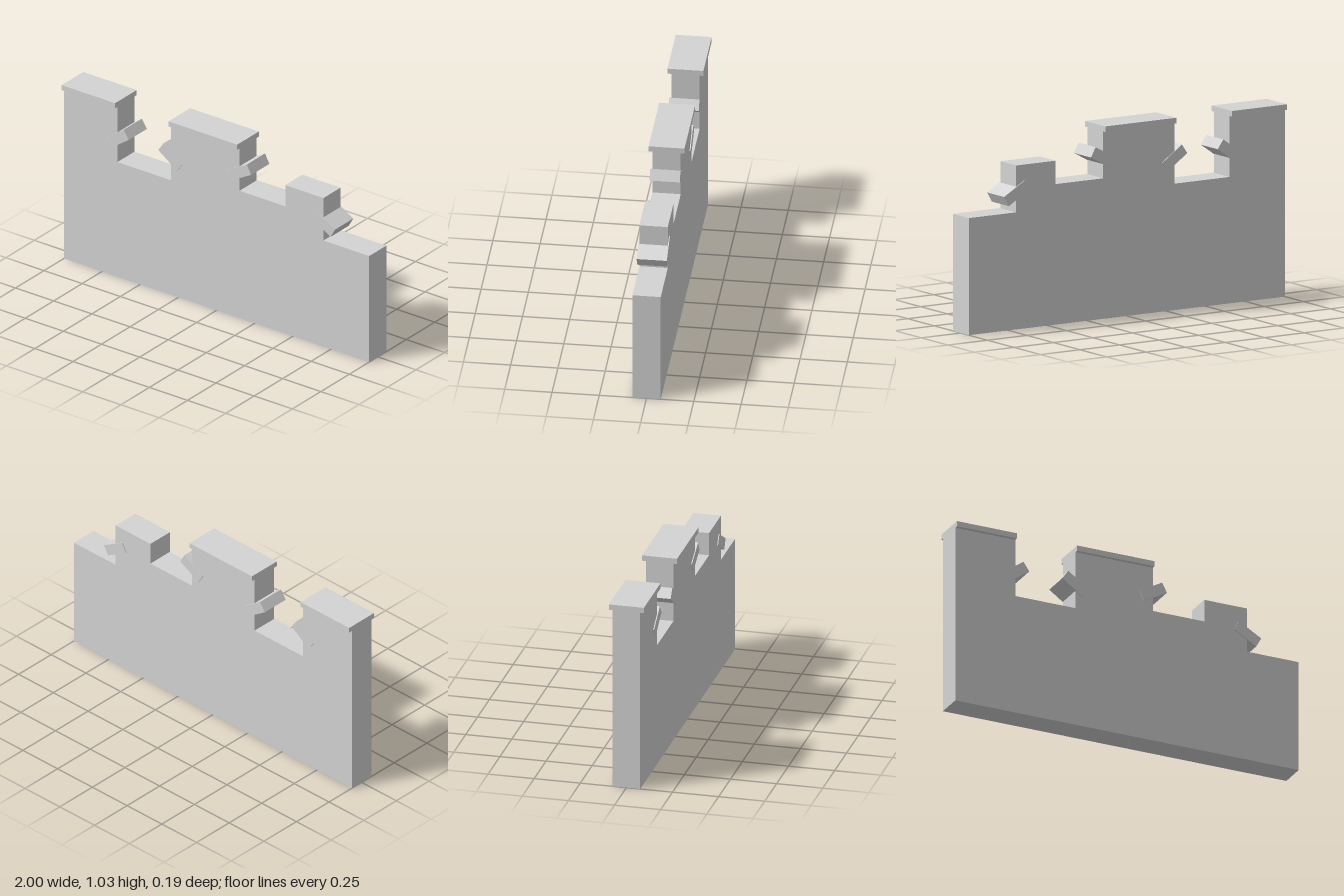
import * as THREE from 'three';

export function createModel() {
  const model = new THREE.Group();
  model.name = 'ruinedWall';
  const stone = new THREE.MeshStandardMaterial({ color: 0xd4d4d4 });
  stone.name = 'paleStone';

  const add = (name, geometry, x = 0, y = 0, z = 0, angle = 0) => {
    const mesh = new THREE.Mesh(geometry, stone);
    mesh.name = name;
    mesh.position.set(x, y, z);
    mesh.rotation.z = angle;
    model.add(mesh);
  };

  // Wall slab with a broken, stepped top edge
  const outline = [
    [-1, 0], [1, 0], [1, 0.625], [0.7, 0.625], [0.7, 0.875], [0.45, 0.875],
    [0.45, 0.75], [0.15, 0.75], [0.15, 1], [-0.3, 1], [-0.3, 0.675],
    [-0.65, 0.675], [-0.65, 1], [-1, 1],
  ].map(([x, y]) => new THREE.Vector2(x, y));
  const depth = 0.15;
  const slab = new THREE.ExtrudeGeometry(new THREE.Shape(outline), { depth, bevelEnabled: false });
  add('wall', slab, 0, 0, -depth / 2);

  // Coping stones on the two intact merlons
  for (const [name, x0, x1] of [['leftCap', -0.3, 0.15], ['rightCap', -1, -0.65]]) {
    add(name, new THREE.BoxGeometry(x1 - x0, 0.03, 0.19), (x0 + x1) / 2, 1.015);
  }

  // Tilted loose bricks sticking out of the broken edges
  const brick = new THREE.BoxGeometry(0.15, 0.06, 0.16);
  [
    [-0.65, 0.813, 0.61],
    [-0.3, 0.813, -0.61],
    [0.15, 0.86, 0.5],
    [0.7, 0.727, -0.52],
  ].forEach(([x, y, angle], i) => add(`looseBrick${i + 1}`, brick, x, y, 0, angle));

  return model;
}
